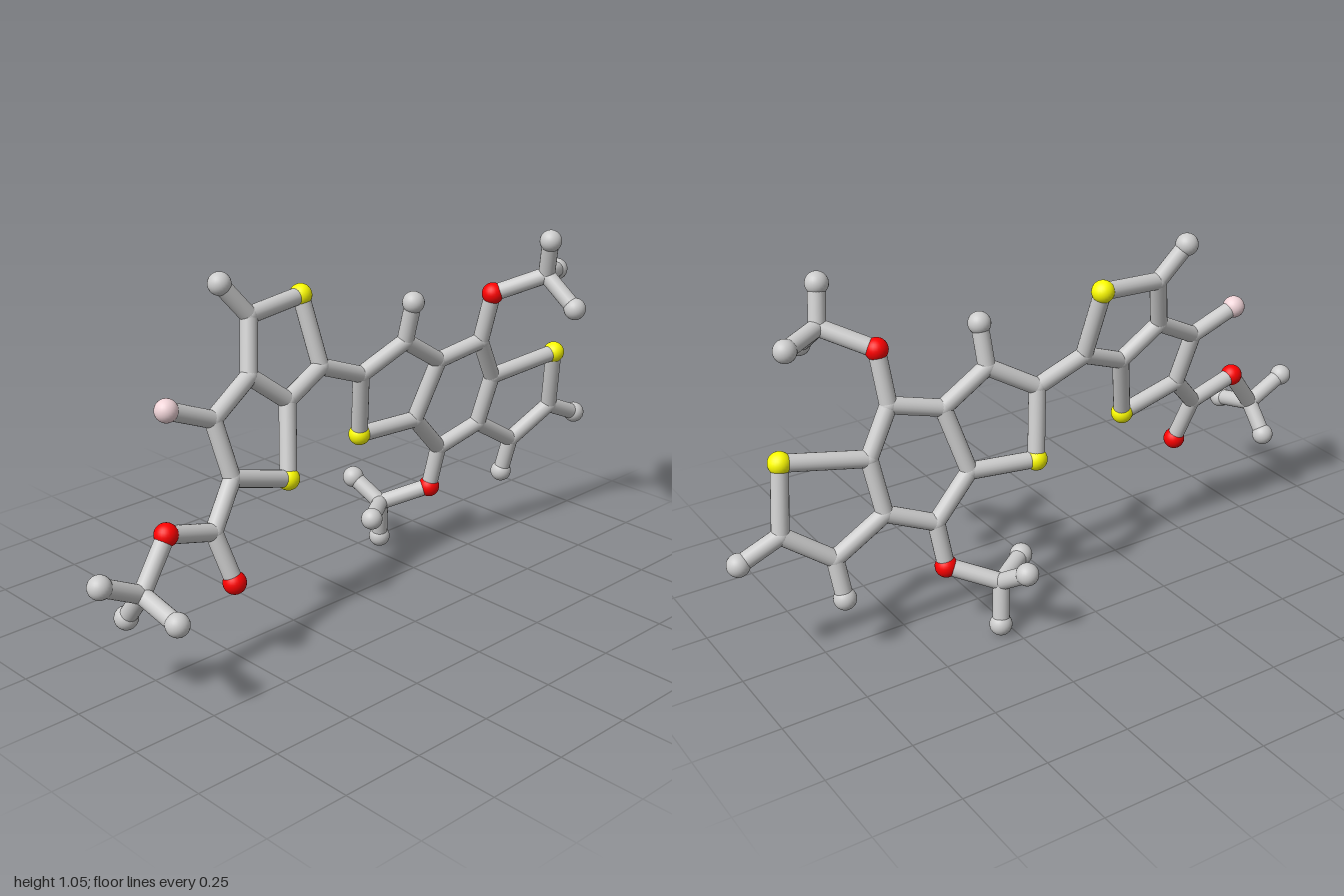
import * as THREE from 'three';

const BALL = 0.033, JOINT = 0.026, STICK = 0.025;

// each fused ring system lies in its own slightly tilted plane z(x, y)
const leftPlane = (x, y) => 0.133 - 0.037 * x - 0.262 * y;
const rightPlane = (x, y) => -0.203 + 0.169 * x + 0.211 * y;

// name: [kind, x, y, z or plane]
const ATOMS = {
  // left fused pair of five-sided rings
  a1: ['joint', -0.31, 0.92, leftPlane],
  a2: ['yellow', -0.11, 0.935, leftPlane],
  a3: ['joint', -0.085, 0.73, leftPlane],
  a4: ['joint', -0.23, 0.67, leftPlane],
  a5: ['joint', -0.35, 0.765, leftPlane],
  a6: ['joint', -0.50, 0.685, leftPlane],
  a7: ['joint', -0.475, 0.52, leftPlane],
  a8: ['yellow', -0.28, 0.465, leftPlane],
  a9: ['grey', -0.39, 1.02, leftPlane],
  a10: ['pink', -0.645, 0.745, leftPlane],
  // side arm at far left
  e1: ['joint', -0.58, 0.41, 0.06],
  e2: ['red', -0.55, 0.267, 0.105],
  e3: ['red', -0.74, 0.455, 0.065],
  e4: ['joint', -0.84, 0.325, 0.085],
  e5: ['grey', -0.967, 0.39, 0.085],
  e6: ['grey', -0.835, 0.29, 0.225],
  e7: ['grey', -0.845, 0.235, 0.017],
  // right fused chain: five-sided, six-sided, five-sided ring
  b1: ['joint', 0.07, 0.67, rightPlane],
  b2: ['yellow', 0.10, 0.465, rightPlane],
  b3: ['joint', 0.30, 0.47, rightPlane],
  b4: ['joint', 0.35, 0.66, rightPlane],
  b5: ['joint', 0.21, 0.75, rightPlane],
  b6: ['grey', 0.215, 0.873, rightPlane],
  b7: ['joint', 0.50, 0.695, rightPlane],
  b8: ['joint', 0.575, 0.56, rightPlane],
  b9: ['joint', 0.555, 0.40, rightPlane],
  b10: ['joint', 0.415, 0.345, rightPlane],
  b11: ['yellow', 0.815, 0.595, rightPlane],
  b12: ['joint', 0.845, 0.40, rightPlane],
  b13: ['joint', 0.71, 0.305, rightPlane],
  b14: ['grey', 0.967, 0.345, rightPlane],
  b15: ['grey', 0.70, 0.188, rightPlane],
  // upper arm
  u1: ['red', 0.51, 0.85, rightPlane],
  u2: ['joint', 0.63, 0.905, 0.168],
  u3: ['grey', 0.61, 1.018, 0.195],
  u4: ['grey', 0.755, 0.888, 0.105],
  u5: ['grey', 0.64, 0.82, 0.273],
  // lower arm
  l1: ['red', 0.40, 0.21, -0.083],
  l2: ['joint', 0.275, 0.163, -0.175],
  l3: ['grey', 0.155, 0.17, -0.09],
  l4: ['grey', 0.25, 0.228, -0.272],
  l5: ['grey', 0.29, 0.036, -0.193],
};

// chains of atoms joined one after another
const CHAINS = [
  'a9 a1 a2 a3 a4 a5 a1', 'a5 a6 a7 a8 a4', 'a6 a10',
  'a7 e1 e2', 'e1 e3 e4 e5', 'e6 e4 e7',
  'a3 b1 b2 b3 b4 b5 b1', 'b5 b6',
  'b4 b7 b8 b9 b10 b3', 'b8 b11 b12 b13 b9', 'b12 b14', 'b13 b15',
  'b7 u1 u2 u3', 'u4 u2 u5',
  'b10 l1 l2 l3', 'l4 l2 l5',
];

export function createModel() {
  const model = new THREE.Group();
  model.name = 'ballAndStickModel';
  const mat = (color) => new THREE.MeshStandardMaterial({ color });
  const grey = mat(0xcccccc);
  const materials = { joint: grey, grey, yellow: mat(0xffff00), red: mat(0xff0000), pink: mat(0xf0d4d8) };
  const names = { joint: 'joint', grey: 'greyBall', yellow: 'yellowBall', red: 'redBall', pink: 'pinkBall' };
  const ballGeo = new THREE.SphereGeometry(BALL, 24, 16);
  const jointGeo = new THREE.SphereGeometry(JOINT, 24, 16);

  // balls and corner joints
  const points = {};
  for (const [id, [kind, x, y, z]] of Object.entries(ATOMS)) {
    points[id] = new THREE.Vector3(x, y, typeof z === 'function' ? z(x, y) : z);
    const ball = new THREE.Mesh(kind === 'joint' ? jointGeo : ballGeo, materials[kind]);
    ball.name = names[kind];
    ball.position.copy(points[id]);
    model.add(ball);
  }

  // sticks between neighbouring balls
  const up = new THREE.Vector3(0, 1, 0);
  for (const chain of CHAINS) {
    const ids = chain.split(' ');
    for (let i = 1; i < ids.length; i++) {
      const a = points[ids[i - 1]], b = points[ids[i]];
      const dir = b.clone().sub(a);
      const stick = new THREE.Mesh(new THREE.CylinderGeometry(STICK, STICK, dir.length(), 20, 1, true), grey);
      stick.name = 'stick';
      stick.position.copy(a).add(b).multiplyScalar(0.5);
      stick.quaternion.setFromUnitVectors(up, dir.normalize());
      model.add(stick);
    }
  }
  return model;
}
